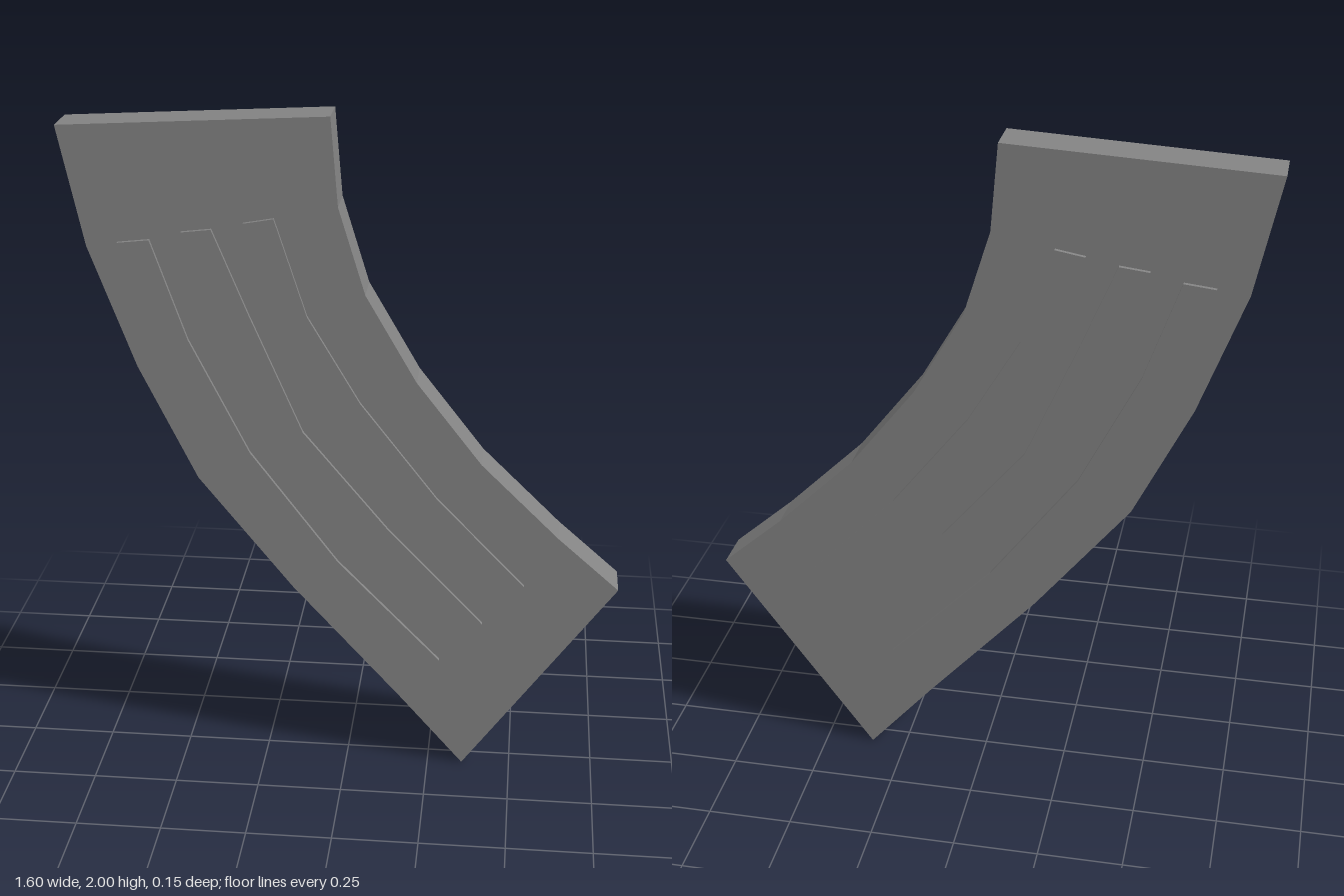
import * as THREE from 'three';

const material = new THREE.MeshStandardMaterial({ color: 0x838383, flatShading: true });

// Flat plate between a left and a right edge (both listed top to bottom), centred on z = 0
function plate(name, left, right, depth) {
  const outline = [...left, ...right.slice().reverse()].map(([x, y]) => new THREE.Vector2(x, y));
  const geometry = new THREE.ExtrudeGeometry(new THREE.Shape(outline), { depth, bevelEnabled: false });
  geometry.translate(0, 0, -depth / 2);
  const mesh = new THREE.Mesh(geometry, material);
  mesh.name = name;
  return mesh;
}

export function createModel() {
  const group = new THREE.Group();
  group.name = 'curvedMagazine';

  // Curved body
  group.add(plate('body',
    [[-0.8, 1.96], [-0.73, 1.62], [-0.6, 1.265], [-0.435, 0.925], [-0.16, 0.58], [0.16, 0.225], [0.355, 0]],
    [[-0.043, 2], [-0.023, 1.75], [0.053, 1.5], [0.2, 1.245], [0.39, 1.0], [0.62, 0.775], [0.8, 0.617]],
    0.124));

  // Three raised ribs, standing proud of both faces
  const ribs = [
    [[[-0.64, 1.635], [-0.52, 1.305], [-0.355, 0.97], [-0.085, 0.615], [0.215, 0.295]],
      [[-0.55, 1.645], [-0.45, 1.355], [-0.28, 1.015], [-0.025, 0.675], [0.28, 0.36]]],
    [[[-0.46, 1.67], [-0.36, 1.4], [-0.2, 1.04], [0.055, 0.73], [0.345, 0.43]],
      [[-0.375, 1.68], [-0.275, 1.435], [-0.125, 1.085], [0.12, 0.79], [0.405, 0.49]]],
    [[[-0.285, 1.7], [-0.18, 1.4], [-0.025, 1.13], [0.205, 0.835], [0.465, 0.555]],
      [[-0.2, 1.715], [-0.11, 1.435], [0.04, 1.18], [0.265, 0.89], [0.525, 0.62]]],
  ];
  ribs.forEach(([left, right], i) => group.add(plate(`rib${i + 1}`, left, right, 0.148)));

  return group;
}
